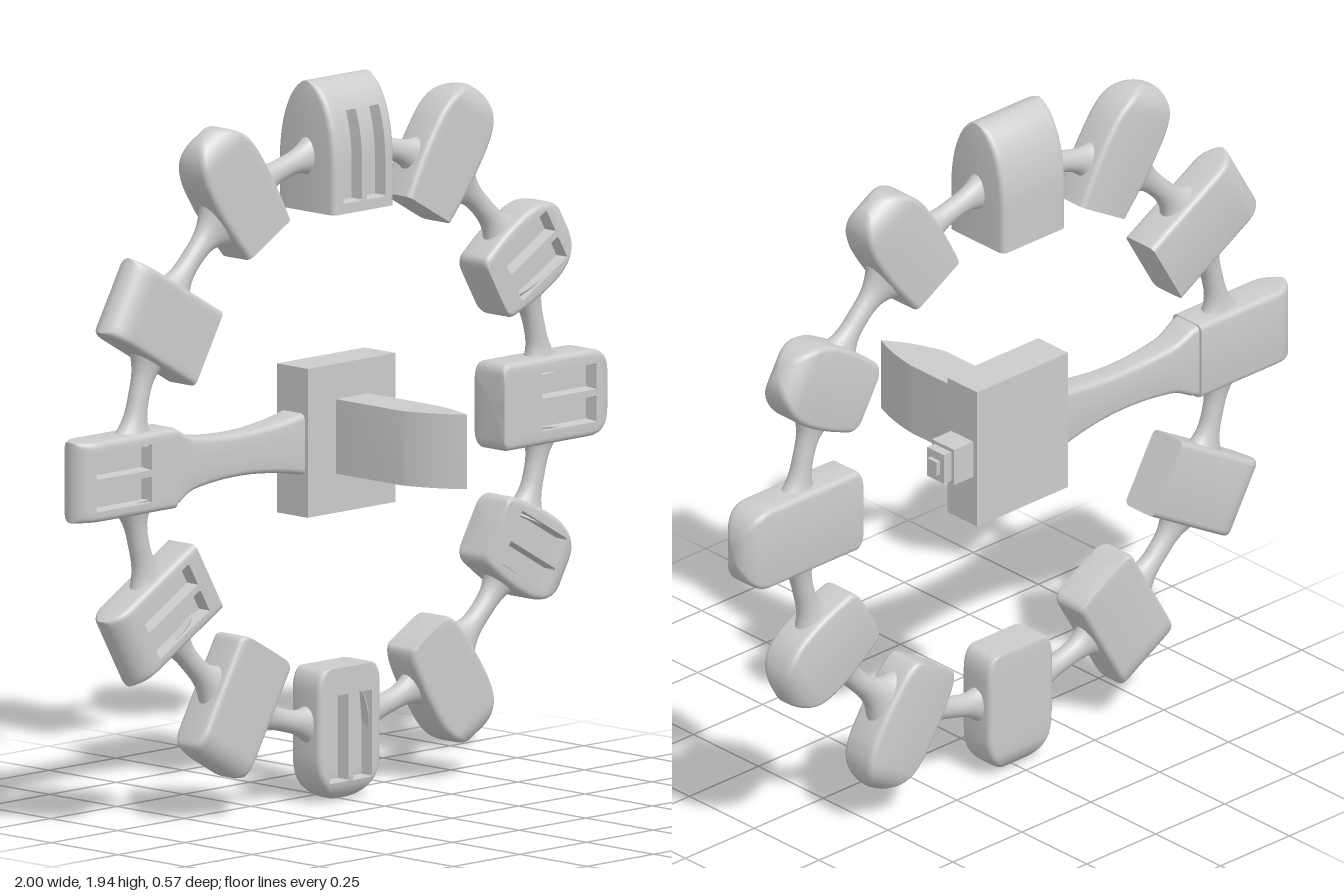
import * as THREE from 'three';
import { toCreasedNormals } from 'three/addons/utils/BufferGeometryUtils.js';

const CY = 0.975, CZ = -0.18; // ring centre
const material = new THREE.MeshStandardMaterial({ color: 0xcccccc });

// Creases are found at a larger scale so small details keep their edges
function crease(geometry, angle = 0.6) {
  geometry.scale(100, 100, 100);
  return toCreasedNormals(geometry, angle).scale(0.01, 0.01, 0.01);
}

// Closed skin through a row of equal-length loops, capped at both ends
function loft(rings) {
  const n = rings[0].length, pos = [], index = [];
  rings.forEach(r => r.forEach(p => pos.push(p.x, p.y, p.z)));
  for (let i = 0; i < rings.length - 1; i++) {
    for (let j = 0; j < n; j++) {
      const a = i * n + j, b = i * n + (j + 1) % n;
      index.push(a, b, b + n, a, b + n, a + n);
    }
  }
  [0, rings.length - 1].forEach((row, end) => {
    const c = new THREE.Vector3();
    rings[row].forEach(p => c.addScaledVector(p, 1 / n));
    const k = pos.length / 3;
    pos.push(c.x, c.y, c.z);
    for (let j = 0; j < n; j++) {
      const a = row * n + j, b = row * n + (j + 1) % n;
      if (end) index.push(k, a, b); else index.push(k, b, a);
    }
  });
  const g = new THREE.BufferGeometry();
  g.setAttribute('position', new THREE.Float32BufferAttribute(pos, 3));
  g.setIndex(index);
  return crease(g);
}

// Rounded rectangle as [u, z]; the front run is sampled at the slot edges
const SLOT = [0.009, 0.013, 0.074, 0.078];
const FRONT = [...SLOT.map(u => -u).reverse(), ...SLOT];
function section(w, d, slotDepth = 0) {
  const r = Math.min(0.016, w * 0.5, d * 0.5), pts = [];
  const corner = (su, sz, from) => {
    for (let k = 0; k <= 4; k++) {
      const t = from - k * Math.PI / 8;
      pts.push([su * (w - r) + r * Math.cos(t), sz * (d - r) + r * Math.sin(t)]);
    }
  };
  corner(-1, 1, Math.PI);
  FRONT.forEach(u => {
    const cut = Math.abs(u) > 0.01 && Math.abs(u) < 0.076 ? slotDepth : 0;
    pts.push([THREE.MathUtils.clamp(u, r - w, w - r), d - cut]);
  });
  corner(1, 1, Math.PI / 2);
  corner(1, -1, 0);
  corner(-1, -1, -Math.PI / 2);
  return pts;
}

// Falls from 1 to 0 along a superellipse over the last stretch
const roundOff = (distance, tail, p) =>
  distance >= tail ? 1 : Math.pow(Math.max(0, 1 - Math.pow(1 - distance / tail, p)), 1 / p);

function padGeometry({ v0, v1, w, d = 0.055, tail = 0, p = 2.3, dTail = 0.07, inner = 0, bulge = 0, skew = 0, slot }) {
  const vs = [];
  for (let k = 0; k <= 36; k++) vs.push(v0 + (v1 - v0) * (0.5 - 0.5 * Math.cos(Math.PI * k / 36)));
  if (slot) slot.forEach(s => vs.push(s - 0.002, s + 0.002));
  vs.sort((a, b) => a - b);
  return loft(vs.map(v => {
    const t = (v - v0) / (v1 - v0);
    let hw = w * (1 + bulge * Math.sin(Math.PI * t));
    if (tail) hw *= roundOff(v1 - v, tail, p);
    if (inner) hw *= 0.75 + 0.25 * roundOff(v - v0, inner, 2);
    const hd = d * roundOff(v1 - v, dTail, 2);
    const deep = slot && v > slot[0] && v < slot[1] ? 0.035 : 0;
    return section(Math.max(hw, 0.004), Math.max(hd, 0.003), Math.min(deep, hd))
      .map(([u, z]) => new THREE.Vector3(u + skew * (1 - t), v, z));
  }));
}

export function createModel() {
  const model = new THREE.Group();
  const add = (name, geometry, parent = model) => {
    const mesh = new THREE.Mesh(geometry, material);
    mesh.name = name;
    parent.add(mesh);
    return mesh;
  };

  // Twelve pads, clockwise from the top
  const bulb = { v0: 0.643, v1: 1.005, w: 0.092, bulge: 0.16, tail: 0.13, skew: -0.025 };
  const slotted = { v0: 0.637, v1: 0.962, w: 0.096, bulge: 0.2, tail: 0.13, inner: 0.02, slot: [0.7, 0.89] };
  const block = { v0: 0.612, v1: 0.963, w: 0.108 };
  const pads = [
    { v0: 0.615, v1: 0.965, w: 0.115, d: 0.105, dTail: 0.22, slot: [0.645, 0.885] },
    bulb,
    slotted,
    { v0: 0.575, v1: 0.998, w: 0.117, tail: 0.1, inner: 0.02, slot: [0.72, 0.92] },
    slotted,
    { ...bulb, skew: 0.02, inner: 0.06 },
    { v0: 0.615, v1: 0.975, w: 0.117, tail: 0.13, inner: 0.06, slot: [0.69, 0.92] },
    { ...block, tail: 0.03, inner: 0.02 },
    { ...block, slot: [0.66, 0.87] },
    { v0: 0.65, v1: 1.0, w: 0.108, slot: [0.75, 0.95] },
    block,
    { ...bulb, skew: 0.025 },
  ];
  const ring = new THREE.Group();
  ring.name = 'ring';
  ring.position.set(0, CY, CZ);
  model.add(ring);
  pads.forEach((pad, i) => {
    add('pad' + (i + 1), padGeometry(pad), ring).rotation.z = -i * Math.PI / 6;
  });

  // Waisted links between neighbouring pads
  const linkRings = [];
  for (let k = 0; k <= 20; k++) {
    const t = k / 20, a = THREE.MathUtils.degToRad(5.5 + 19 * t);
    const flare = Math.pow(Math.abs(2 * t - 1), 3);
    const loop = [];
    for (let j = 0; j < 20; j++) {
      const q = j / 20 * Math.PI * 2;
      const r = 0.768 - (0.03 + 0.062 * flare) * Math.sin(q);
      loop.push(new THREE.Vector3(r * Math.sin(a), r * Math.cos(a), (0.027 + 0.02 * flare) * Math.cos(q)));
    }
    linkRings.push(loop);
  }
  const linkGeometry = loft(linkRings);
  for (let i = 0; i < 12; i++) add('link' + (i + 1), linkGeometry, ring).rotation.z = -i * Math.PI / 6;

  // Waisted arm from the left-hand pad to the hub
  const armRings = [];
  for (let k = 0; k <= 24; k++) {
    const x = -0.7 + 0.56 * k / 24;
    const s = (x + 0.4) / 0.25;
    const h = 0.058 + 0.028 * s * s + 0.02 * THREE.MathUtils.smoothstep(-x, 0.57, 0.65);
    armRings.push(section(Math.min(h, 0.107), 0.036 + 0.012 * Math.min(1, s * s))
      .map(([u, z]) => new THREE.Vector3(x, CY - u, CZ + z)));
  }
  add('arm', loft(armRings));

  // Hub block with a stepped stub on its side
  const box = (name, x0, x1, h, depth, y = CY) =>
    add(name, new THREE.BoxGeometry(x1 - x0, h, depth)).position.set((x0 + x1) / 2, y, CZ);
  box('hub', -0.165, 0.165, 0.4, 0.115, 0.98);
  box('stubBase', 0.16, 0.235, 0.105, 0.085);
  box('stubNeck', 0.23, 0.262, 0.085, 0.065);
  box('stubTip', 0.26, 0.275, 0.04, 0.035);

  // Pointed blade standing forward from the hub (shape y runs along -z)
  const outline = new THREE.Shape();
  outline.moveTo(-0.06, 0.13);
  outline.lineTo(0.063, 0.13);
  outline.lineTo(0.063, -0.12);
  outline.quadraticCurveTo(0.055, -0.21, 0.022, -0.285);
  outline.quadraticCurveTo(-0.035, -0.22, -0.06, -0.12);
  outline.closePath();
  const blade = new THREE.ExtrudeGeometry(outline, { depth: 0.2, bevelEnabled: false, curveSegments: 10 });
  blade.rotateX(-Math.PI / 2);
  add('blade', crease(blade)).position.y = 0.885;

  return model;
}
